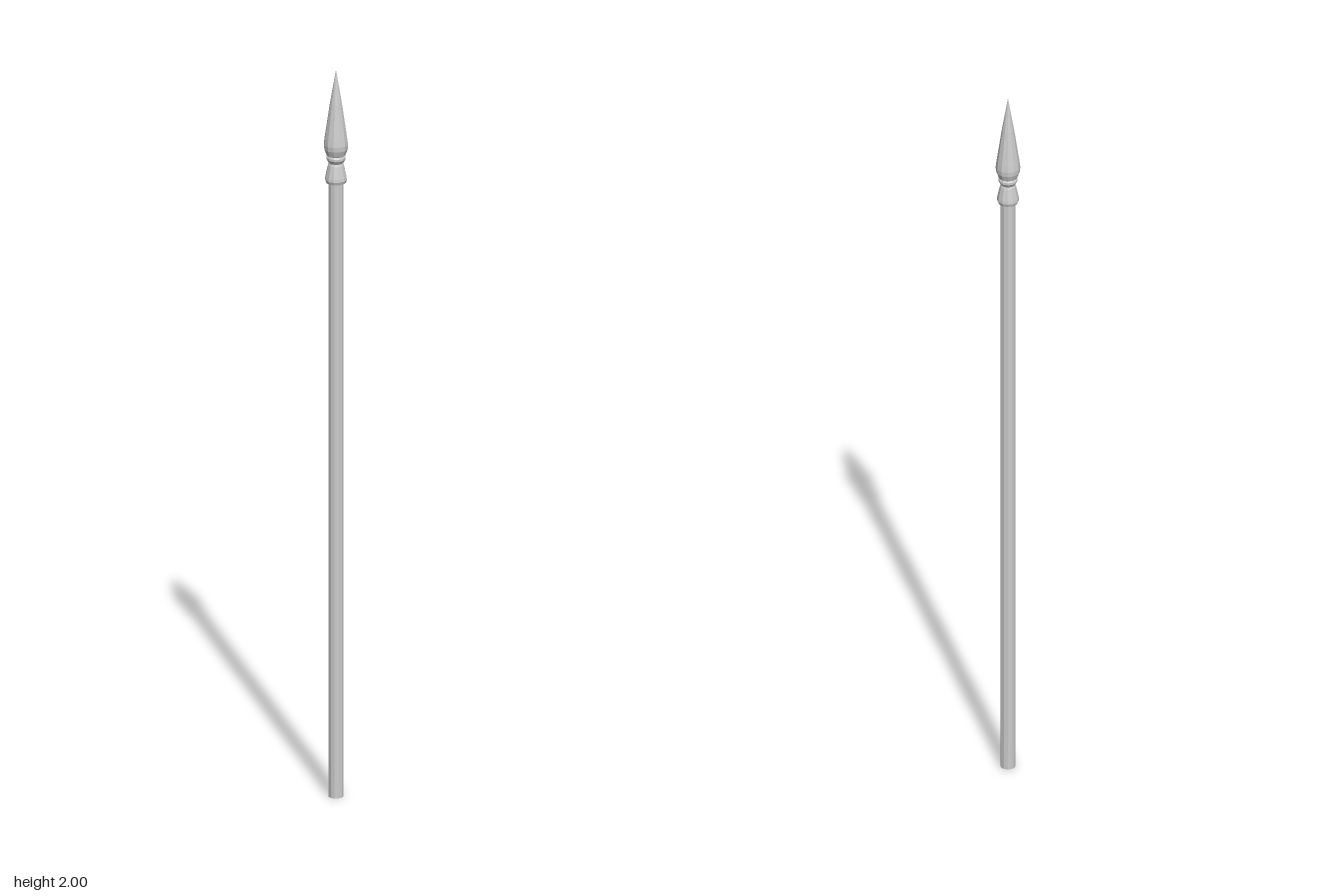
import * as THREE from 'three';

const SIDES = 12;

export function createModel() {
  const group = new THREE.Group();
  const material = new THREE.MeshStandardMaterial({ color: 0xcccccc, flatShading: true });

  // Turned part from [radius, height] pairs, listed bottom to top
  const addTurned = (name, profile) => {
    const points = profile.map(([r, y]) => new THREE.Vector2(r, y));
    const mesh = new THREE.Mesh(new THREE.LatheGeometry(points, SIDES), material);
    mesh.name = name;
    group.add(mesh);
  };

  // Long straight pole, closed at the foot
  addTurned('shaft', [[0, 0], [0.02, 0], [0.02, 1.7]]);

  // Flared socket gripping the top of the pole
  addTurned('socket', [
    [0.018, 1.69], [0.026, 1.69], [0.029, 1.698], [0.028, 1.706],
    [0.021, 1.738], [0.018, 1.745],
  ]);

  // Small ring between socket and blade
  addTurned('collar', [
    [0.017, 1.742], [0.02, 1.746], [0.025, 1.754], [0.025, 1.76], [0.021, 1.766],
  ]);

  // Pointed head, widest just above its base
  addTurned('spearhead', [
    [0.019, 1.762], [0.025, 1.766], [0.031, 1.782], [0.032, 1.795],
    [0.03, 1.812], [0.016, 1.907], [0, 2],
  ]);

  return group;
}
